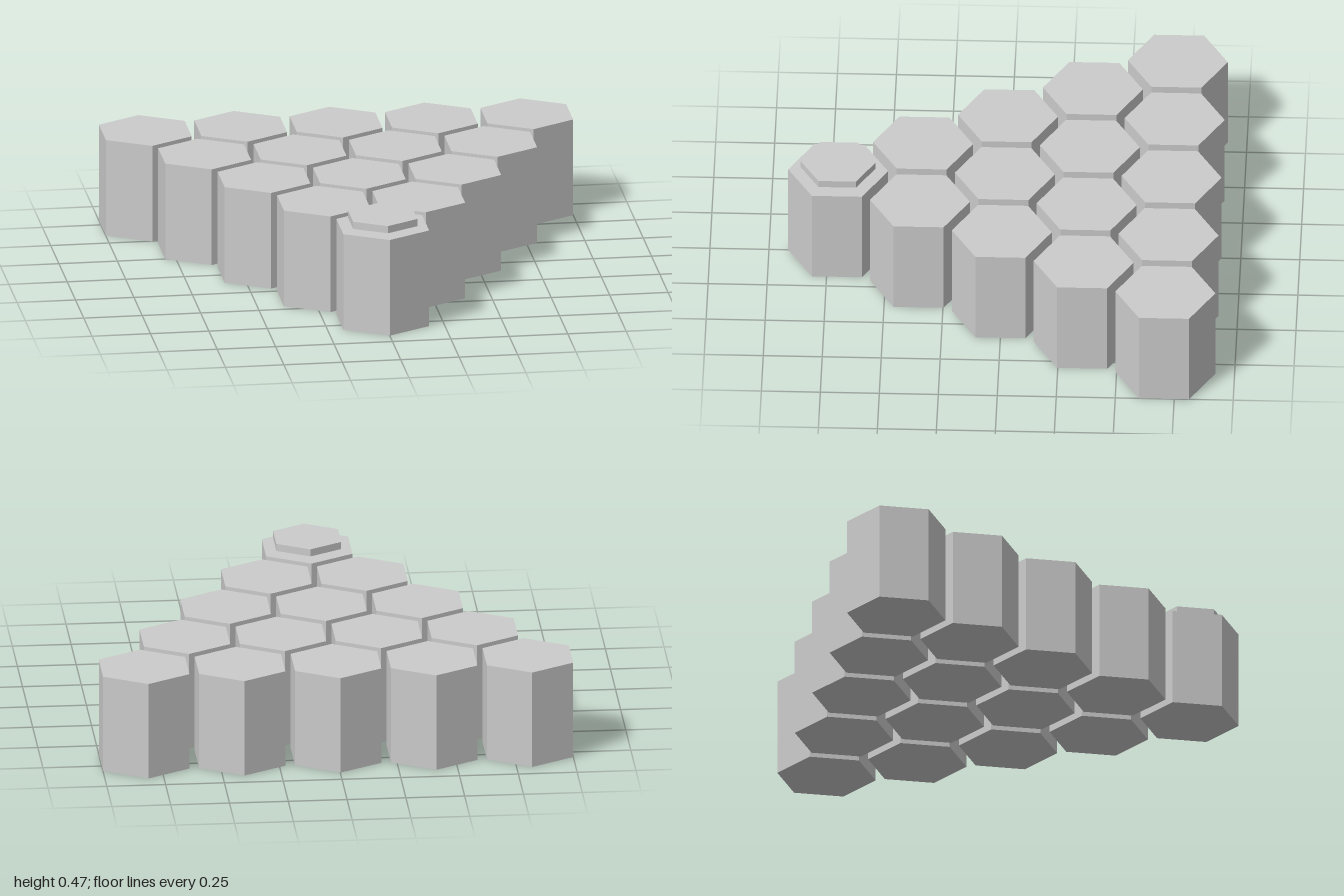
import * as THREE from 'three';

export function createModel() {
  const model = new THREE.Group();
  const material = new THREE.MeshStandardMaterial({ color: 0xcccccc, flatShading: true });

  const pitch = 0.408;                       // centre spacing within a row
  const rowStep = pitch * Math.sqrt(3) / 2;  // spacing between rows
  const rows = 5;
  const height = 0.426;

  // Hexagonal prism with corners pointing along z
  const hexPrism = (radius, h) => new THREE.CylinderGeometry(radius, radius, h, 6);

  // Triangle of columns: five at the back, one at the front
  const columnGeometry = hexPrism(0.212, height);
  for (let row = 0; row < rows; row++) {
    const count = rows - row;
    for (let i = 0; i < count; i++) {
      const column = new THREE.Mesh(columnGeometry, material);
      column.name = `hexColumn_${row + 1}_${i + 1}`;
      column.position.set((i - (count - 1) / 2) * pitch, height / 2, (row - 2) * rowStep);
      model.add(column);
    }
  }

  // Thin plate hovering just above the front column
  const plate = new THREE.Mesh(hexPrism(0.159, 0.032), material);
  plate.name = 'topPlate';
  plate.position.set(0, 0.455, 2 * rowStep);
  model.add(plate);

  return model;
}
